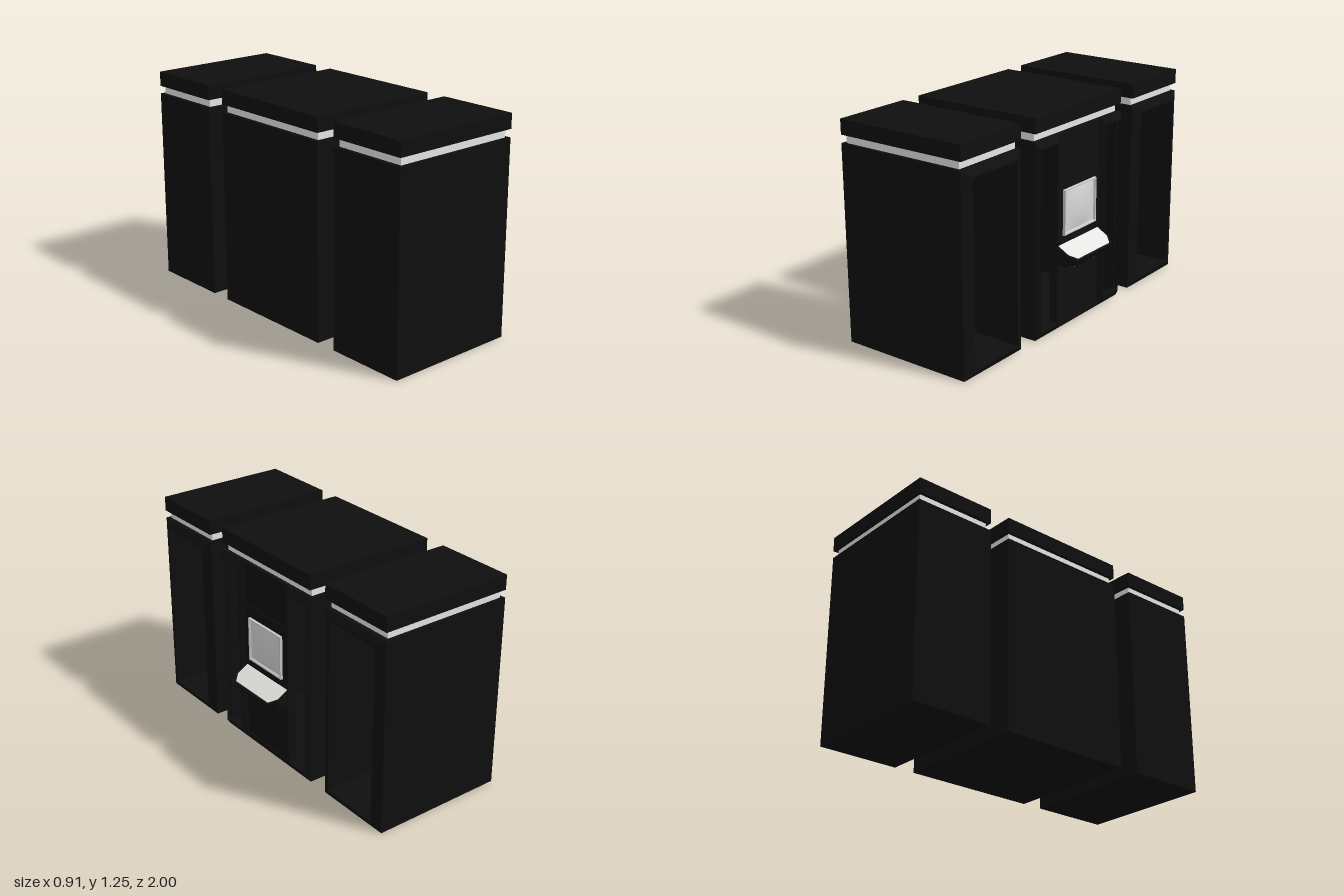
import * as THREE from 'three';
import { ConvexGeometry } from 'three/addons/geometries/ConvexGeometry.js';

const black = new THREE.MeshStandardMaterial({ name: 'black', color: 0x0f0f0f });
const light = new THREE.MeshStandardMaterial({ name: 'lightPanel', color: 0xe4e6e2 });
const trim = new THREE.MeshStandardMaterial({ name: 'screenTrim', color: 0xc8c8c8 });
const glass = new THREE.MeshStandardMaterial({ name: 'screenGlass', color: 0xd6d6d6 });

const BACK = -0.457, FRONT = 0.337, FACE = 0.362, TOP = 1.12, LID = 1.165, HEIGHT = 1.25, WALL = 0.03;

function add(parent, name, geometry, material) {
  const mesh = new THREE.Mesh(geometry, material);
  mesh.name = name;
  parent.add(mesh);
  return mesh;
}

// Box given by its limits on each axis
function block(parent, name, material, x0, x1, y0, y1, z0, z1) {
  const g = new THREE.BoxGeometry(x1 - x0, y1 - y0, z1 - z0);
  g.translate((x0 + x1) / 2, (y0 + y1) / 2, (z0 + z1) / 2);
  return add(parent, name, g, material);
}

// Rectangular ring facing +x, lofted through loops of [x, y0, y1, z0, z1]
function ring(parent, name, material, loops) {
  const rects = loops.map(([x, y0, y1, z0, z1]) => [[x, y0, z1], [x, y0, z0], [x, y1, z0], [x, y1, z1]]);
  const pos = [];
  for (let k = 0; k < rects.length - 1; k++) {
    for (let i = 0; i < 4; i++) {
      const j = (i + 1) % 4;
      const [a, b, c, d] = [rects[k][i], rects[k][j], rects[k + 1][j], rects[k + 1][i]];
      pos.push(...a, ...b, ...c, ...a, ...c, ...d);
    }
  }
  const g = new THREE.BufferGeometry();
  g.setAttribute('position', new THREE.Float32BufferAttribute(pos, 3));
  g.computeVertexNormals();
  return add(parent, name, g, material);
}

// Bevelled frame around a tall opening
function doorFrame(parent, z0, z1, bevel, o0, o1, oTop) {
  ring(parent, 'doorFrame', black, [
    [FRONT - 0.01, 0, TOP, z0, z1],
    [FRONT, 0, TOP, z0, z1],
    [FACE, 0.037, TOP - 0.037, z0 + bevel, z1 - bevel],
    [FACE, 0.05, oTop, o0, o1],
    [FRONT - 0.01, 0.05, oTop, o0, o1],
    [FRONT - 0.01, 0, TOP, z0, z1],
  ]);
}

// Hollow open-topped cabinet with a glowing band under a solid lid
function cabinet(name, z0, z1) {
  const g = new THREE.Group();
  g.name = name;
  block(g, 'floor', black, BACK, FRONT, 0, WALL, z0, z1);
  block(g, 'backWall', black, BACK, BACK + WALL, 0, TOP, z0, z1);
  block(g, 'sideWall', black, BACK, FRONT, 0, TOP, z0, z0 + WALL);
  block(g, 'sideWall', black, BACK, FRONT, 0, TOP, z1 - WALL, z1);
  block(g, 'topRail', black, 0.3, FRONT, TOP - 0.015, TOP, z0, z1);
  const a = z0 + 0.018, b = z1 - 0.018, t = 0.012;
  block(g, 'lightBand', light, BACK + 0.022, 0.315, TOP, LID, a, a + t);
  block(g, 'lightBand', light, BACK + 0.022, 0.315, TOP, LID, b - t, b);
  block(g, 'lightBand', light, BACK + 0.022, BACK + 0.034, TOP, LID, a + t, b - t);
  block(g, 'lightBand', light, 0.303, 0.315, TOP, LID, a + t, b - t);
  block(g, 'lid', black, BACK, 0.34, LID, HEIGHT, z0, z1);
  return g;
}

// Thin or solid hull mirrored in z from [x, y, z] points
function hull(parent, name, material, points) {
  const v = points.flatMap(([x, y, z]) => [new THREE.Vector3(x, y, z), new THREE.Vector3(x, y, -z)]);
  return add(parent, name, new ConvexGeometry(v), material);
}

export function createModel() {
  const model = new THREE.Group();
  model.name = 'cabinetRow';

  // Side cabinets
  for (const [name, z0, z1] of [['leftCabinet', 0.525, 1], ['rightCabinet', -1, -0.525]]) {
    const c = cabinet(name, z0, z1);
    doorFrame(c, z0, z1, 0.053, z0 + 0.06, z1 - 0.06, 1.07);
    model.add(c);
  }

  // Middle cabinet with two slim pillars and a centre wall
  const mid = cabinet('middleCabinet', -0.4, 0.4);
  doorFrame(mid, 0.205, 0.4, 0.018, 0.23, 0.38, 1.08);
  doorFrame(mid, -0.4, -0.205, 0.018, -0.38, -0.23, 1.08);
  block(mid, 'centreWall', black, 0.3, 0.33, 0, TOP, -0.215, 0.215);
  block(mid, 'consolePanel', black, 0.32, 0.339, 0.38, 0.86, -0.2, 0.2);
  model.add(mid);

  // Screen: bevelled trim and a gently domed glass
  const screen = new THREE.Group();
  screen.name = 'screen';
  ring(screen, 'screenTrim', trim, [
    [0.33, 0.535, 0.8, -0.152, 0.152],
    [0.354, 0.538, 0.797, -0.149, 0.149],
    [0.354, 0.545, 0.79, -0.142, 0.142],
    [0.342, 0.552, 0.783, -0.136, 0.136],
  ]);
  const dome = new THREE.PlaneGeometry(0.274, 0.233, 12, 12);
  const p = dome.attributes.position;
  for (let i = 0; i < p.count; i++) {
    const u = p.getX(i) / 0.137, v = p.getY(i) / 0.1165;
    p.setZ(i, 0.014 * (1 - u * u) * (1 - v * v));
  }
  dome.computeVertexNormals();
  dome.rotateY(Math.PI / 2).translate(0.343, 0.6675, 0);
  add(screen, 'screenGlass', dome, glass);
  model.add(screen);

  // Sloping desk with light plates above and below
  const desk = new THREE.Group();
  desk.name = 'desk';
  hull(desk, 'deskBody', black, [
    [0.33, 0.49, 0.2], [0.41, 0.446, 0.2], [0.455, 0.42, 0.16],
    [0.33, 0.37, 0.195], [0.395, 0.378, 0.19], [0.433, 0.383, 0.155],
  ]);
  const outline = [[0.335, 0.188], [0.405, 0.188], [0.444, 0.152]];
  const topY = (x) => 0.49 - (x - 0.33) * 0.56;
  hull(desk, 'deskTopPlate', light, outline.flatMap(([x, z]) => [[x, topY(x) - 0.003, z], [x, topY(x) + 0.003, z]]));
  const under = [[0.342, 0.186], [0.392, 0.182], [0.428, 0.15]];
  const lowY = (x) => 0.37 + (x - 0.33) * 0.126;
  hull(desk, 'deskUnderPlate', light, under.flatMap(([x, z]) => [[x, lowY(x) - 0.003, z], [x, lowY(x) + 0.003, z]]));
  model.add(desk);

  return model;
}
